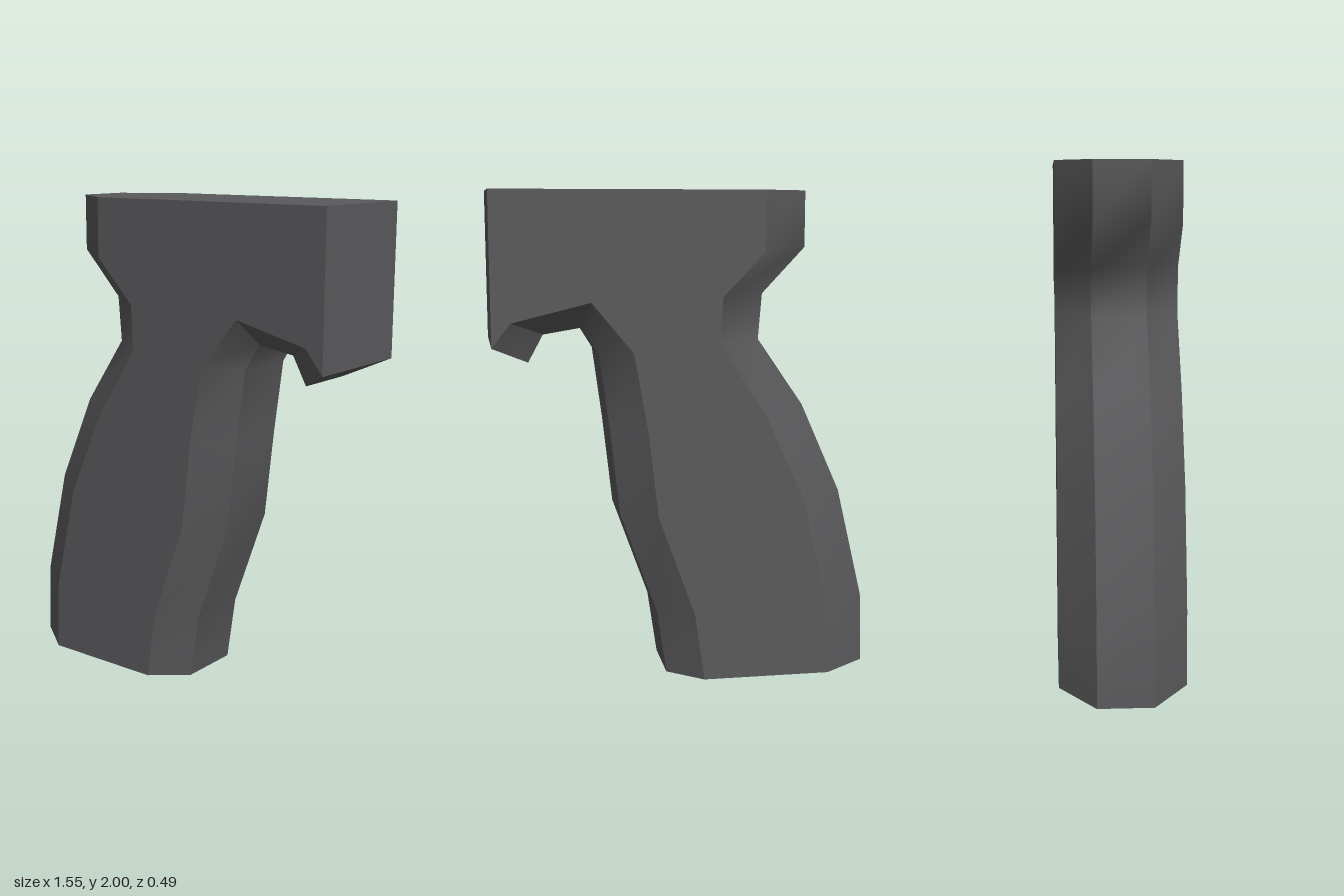
import * as THREE from 'three';

const W = 0.247; // half thickness at the flat cheeks

// Each row: cheek x, y, then the matching point on the narrow centre band x, y
const BACK = [
  [-0.30, 2.0, -0.495, 2.0], [-0.30, 1.76, -0.495, 1.775], [-0.13, 1.585, -0.32, 1.59],
  [-0.12, 1.40, -0.305, 1.405], [-0.31, 1.11, -0.495, 1.13], [-0.47, 0.76, -0.66, 0.76],
  [-0.58, 0.30, -0.77, 0.295], [-0.59, 0.005, -0.78, 0],
];
const FRONT = [
  [-0.06, 0.01, 0.08, 0.01], [-0.02, 0.29, 0.12, 0.28], [0.13, 0.71, 0.27, 0.70],
  [0.17, 1.06, 0.31, 1.06], [0.225, 1.37, 0.35, 1.36], [0.39, 1.57, 0.415, 1.465],
  [0.70, 1.495, 0.57, 1.44], [0.775, 1.40, 0.63, 1.33],
];

// Four points across the thickness, from +z to -z
const ring = ([sx, sy, cx, cy], half) => [[sx, sy, W], [cx, cy, half], [cx, cy, -half], [sx, sy, -W]];

function geometry(points, index) {
  const g = new THREE.BufferGeometry();
  g.setAttribute('position', new THREE.Float32BufferAttribute(points.flat(), 3));
  g.setIndex(index);
  g.computeVertexNormals();
  return g;
}

// Flat convex polygon
function polygon(points) {
  const index = [];
  for (let i = 1; i < points.length - 1; i++) index.push(0, i, i + 1);
  return geometry(points, index);
}

// Band that is smooth along its length and sharp at its long edges
function band(rings, col) {
  const points = rings.flatMap(r => [r[col], r[col + 1]]);
  const index = [];
  for (let i = 0; i < rings.length - 1; i++) {
    const a = i * 2;
    index.push(a, a + 1, a + 3, a, a + 3, a + 2);
  }
  return geometry(points, index);
}

export function createModel() {
  const group = new THREE.Group();
  group.name = 'pistolGrip';
  const grey = new THREE.MeshStandardMaterial({ color: 0x5a5a5c });
  grey.name = 'dark grey';
  const add = (name, g) => {
    const mesh = new THREE.Mesh(g, grey);
    mesh.name = name;
    group.add(mesh);
  };

  const back = BACK.map(r => ring(r, 0.108));
  const front = FRONT.map(r => ring(r, 0.13));

  // Bevelled back strap, front strap, trigger-side hollow and lip
  for (let col = 0; col < 3; col++) {
    add('backStrap', band(back, col));
    add('frontStrap', band(front.slice(0, 6), col));
    add('hollow', band(front.slice(5, 7), col));
    add('lip', band(front.slice(6, 8), col));
  }

  // Flat cheeks on both sides
  const outline = [...BACK, ...FRONT].map(([x, y]) => new THREE.Vector2(x, y));
  outline.push(new THREE.Vector2(0.775, 2));
  const faces = THREE.ShapeUtils.triangulateShape(outline, []);
  for (const s of [1, -1]) {
    const points = outline.map(p => [p.x, p.y, s * W]);
    const index = faces.flatMap(([a, b, c]) => (s > 0 ? [a, b, c] : [a, c, b]));
    add(s > 0 ? 'frontCheek' : 'rearCheek', geometry(points, index));
  }

  // Closing faces: underside of the lip, nose, top and base
  const [s0, c0, c1, s1] = front[7];
  add('lipUnderside', polygon([c0, c1, s1, s0]));
  const nose0 = [0.775, 2, W], nose1 = [0.775, 2, -W];
  add('nose', polygon([s0, s1, nose1, nose0]));
  const t = back[0];
  add('top', polygon([t[0], nose0, nose1, t[3], t[2], t[1]]));
  add('base', polygon([...back[7], ...[...front[0]].reverse()]));

  return group;
}
